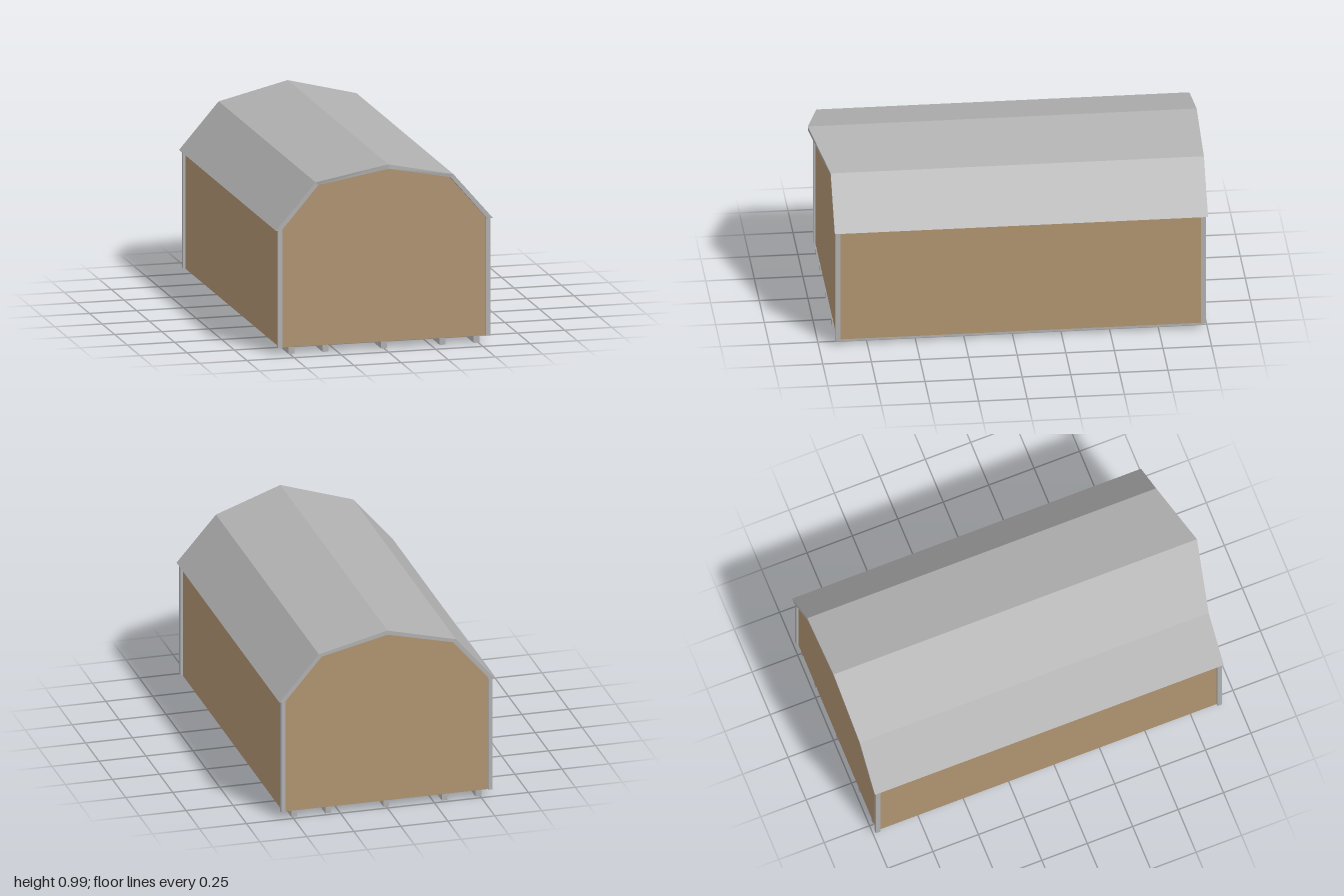
import * as THREE from 'three';

export function createModel() {
  const group = new THREE.Group();
  const tan = new THREE.MeshStandardMaterial({ color: 0xb09371, side: THREE.DoubleSide });
  tan.name = 'tan siding';
  const grey = new THREE.MeshStandardMaterial({ color: 0xb0b0b0 });
  grey.name = 'grey metal';

  const add = (name, geometry, material) => {
    const mesh = new THREE.Mesh(geometry, material);
    mesh.name = name;
    group.add(mesh);
    return mesh;
  };
  // Box given by its minimum and maximum corners
  const block = (name, x0, x1, y0, y1, z0, z1) => {
    add(name, new THREE.BoxGeometry(x1 - x0, y1 - y0, z1 - z0), grey)
      .position.set((x0 + x1) / 2, (y0 + y1) / 2, (z0 + z1) / 2);
  };
  // Full gambrel outline from its right half, which ends at the ridge
  const mirror = (half) => [...half, ...half.slice(0, -1).reverse().map(([x, y]) => [-x, y])];
  const toShape = (pts) => new THREE.Shape(pts.map(([x, y]) => new THREE.Vector2(x, y)));

  const floorY = 0.035, eaveY = 0.652, wallX = 0.55, front = 0.905, back = -0.98;

  // Body: gable walls, side walls and ceiling, open underneath
  const outline = mirror([[wallX, floorY], [wallX, 0.645], [0.35, 0.876], [0, 0.958]]);
  for (const [name, z, turn] of [['frontWall', front, 0], ['backWall', back, Math.PI]]) {
    const wall = add(name, new THREE.ShapeGeometry(toShape(outline)), tan);
    wall.position.z = z;
    wall.rotation.y = turn;
  }
  const names = ['leftWall', 'leftLowerCeiling', 'leftUpperCeiling',
    'rightUpperCeiling', 'rightLowerCeiling', 'rightWall'];
  names.forEach((name, i) => {
    const [ax, ay] = outline[i], [bx, by] = outline[i + 1];
    const panel = new THREE.BufferGeometry();
    panel.setAttribute('position', new THREE.Float32BufferAttribute(
      [ax, ay, front, ax, ay, back, bx, by, back, bx, by, front], 3));
    panel.setIndex([0, 1, 2, 0, 2, 3]);
    panel.computeVertexNormals();
    add(name, panel, tan);
  });

  // Gambrel roof, with the front of the ridge drawn out to a peak
  const outer = mirror([[0.575, eaveY], [0.365, 0.895], [0, 0.985]]);
  const inner = mirror([[0.545, eaveY], [0.35, 0.88], [0, 0.962]]).reverse();
  const roof = new THREE.ExtrudeGeometry(toShape([...outer, ...inner]), { depth: 1.92, bevelEnabled: false });
  roof.translate(0, 0, -1);
  const p = roof.attributes.position;
  for (let i = 0; i < p.count; i++) {
    if (p.getZ(i) > 0 && Math.abs(p.getX(i)) < 0.1) p.setZ(i, 1);
  }
  roof.computeVertexNormals();
  add('roof', roof, grey);

  // Corner trims: one plate on the gable and one on the side wall
  for (const s of [-1, 1]) {
    const xs = (a, b) => (s > 0 ? [a, b] : [-b, -a]);
    block('frontTrim', ...xs(0.54, 0.562), floorY, eaveY, front - 0.002, 0.915);
    block('frontSideTrim', ...xs(wallX, 0.562), floorY, eaveY, 0.89, front - 0.002);
    block('backTrim', ...xs(0.54, 0.562), floorY, eaveY, -0.99, back + 0.002);
    block('backSideTrim', ...xs(wallX, 0.562), floorY, eaveY, back + 0.002, -0.965);
  }

  // Ground runners
  for (const x of [-0.49, -0.31, 0, 0.31, 0.49]) {
    block('runner', x - 0.015, x + 0.015, 0, floorY, back, 0.91);
  }
  return group;
}
